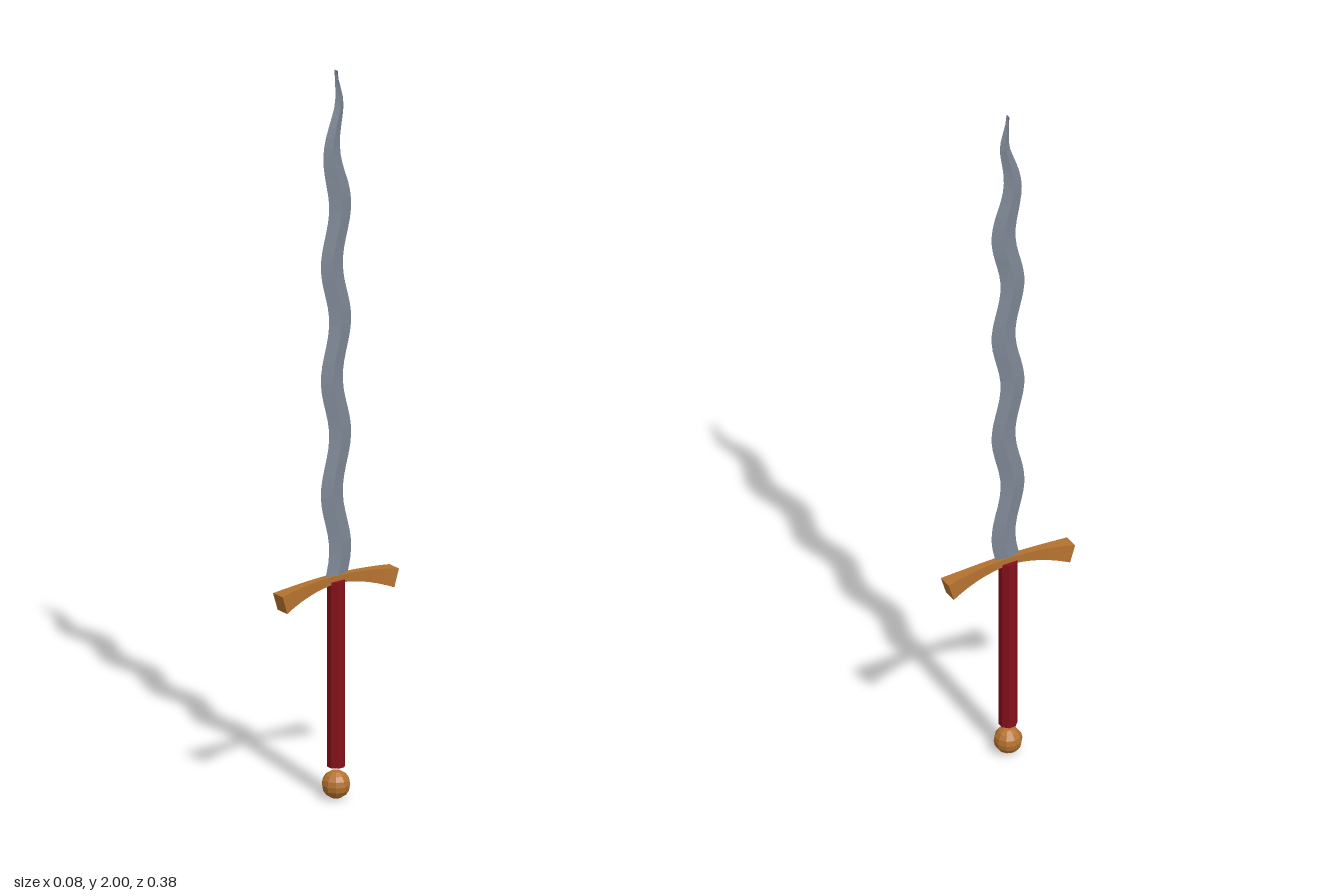
import * as THREE from 'three';

const steel = new THREE.MeshStandardMaterial({ name: 'steel', color: 0x7d8794, flatShading: true });
const bronze = new THREE.MeshStandardMaterial({ name: 'bronze', color: 0xb4722f, flatShading: true });
const redLeather = new THREE.MeshStandardMaterial({ name: 'redLeather', color: 0x86101a, flatShading: true, side: THREE.DoubleSide });

// Skin a list of equal-length rings (counterclockwise about the sweep direction) and cap both ends
function loft(rings) {
  const n = rings[0].length;
  const index = [];
  for (let i = 0; i < rings.length - 1; i++) {
    for (let j = 0; j < n; j++) {
      const a = i * n + j, b = i * n + (j + 1) % n;
      index.push(a, b, a + n, b, b + n, a + n);
    }
  }
  const last = (rings.length - 1) * n;
  for (let j = 1; j < n - 1; j++) {
    index.push(0, j + 1, j, last, last + j, last + j + 1);
  }
  const g = new THREE.BufferGeometry();
  g.setAttribute('position', new THREE.Float32BufferAttribute(rings.flat(2), 3));
  g.setIndex(index);
  const flat = g.toNonIndexed();
  flat.computeVertexNormals();
  return flat;
}

function add(group, name, geometry, material) {
  const mesh = new THREE.Mesh(geometry, material);
  mesh.name = name;
  group.add(mesh);
  return mesh;
}

// Wavy blade: diamond section swaying in z and tapering to the tip
function bladeGeometry() {
  const rings = [], steps = 54, y0 = 0.6, y1 = 2;
  for (let i = 0; i <= steps; i++) {
    const y = y0 + (y1 - y0) * i / steps;
    const taper = Math.min(1, Math.pow((y1 - y) / 0.32, 0.75));
    const sway = y > 1.9 ? Math.max(0, (y1 - y) / 0.1) : 1;
    const z = -0.0135 * sway * Math.cos(2 * Math.PI * (y - 0.685) / 0.313);
    const w = Math.max(0.0355 * taper, 0.0008), t = 0.0075;
    rings.push([[t, y, z], [0, y, z - w], [-t, y, z], [0, y, z + w]]);
  }
  return loft(rings);
}

// Arched crossguard flaring towards both ends
function guardGeometry() {
  const rings = [], steps = 20;
  for (let i = 0; i <= steps; i++) {
    const s = i / steps * 2 - 1, q = Math.abs(s);
    const w = 0.0095 + 0.0115 * Math.pow(q, 2.6);
    const top = 0.615 - 0.017 * q * q;
    const bottom = 0.594 - 0.045 * Math.pow(q, 1.7);
    const zt = 0.188 * s, zb = 0.173 * s;
    rings.push([[w, bottom, zb], [w, top, zt], [-w, top, zt], [-w, bottom, zb]]);
  }
  return loft(rings);
}

export function createModel() {
  const sword = new THREE.Group();
  sword.name = 'wavySword';

  add(sword, 'blade', bladeGeometry(), steel);
  add(sword, 'crossguard', guardGeometry(), bronze);

  // Octagonal grip
  const grip = add(sword, 'grip', new THREE.CylinderGeometry(0.0245, 0.0245, 0.51, 8), redLeather);
  grip.rotation.y = Math.PI / 8;
  grip.position.y = 0.345;

  // Faceted ball pommel
  const pommel = add(sword, 'pommel', new THREE.SphereGeometry(0.038, 10, 8), bronze);
  pommel.position.y = 0.04;
  return sword;
}
